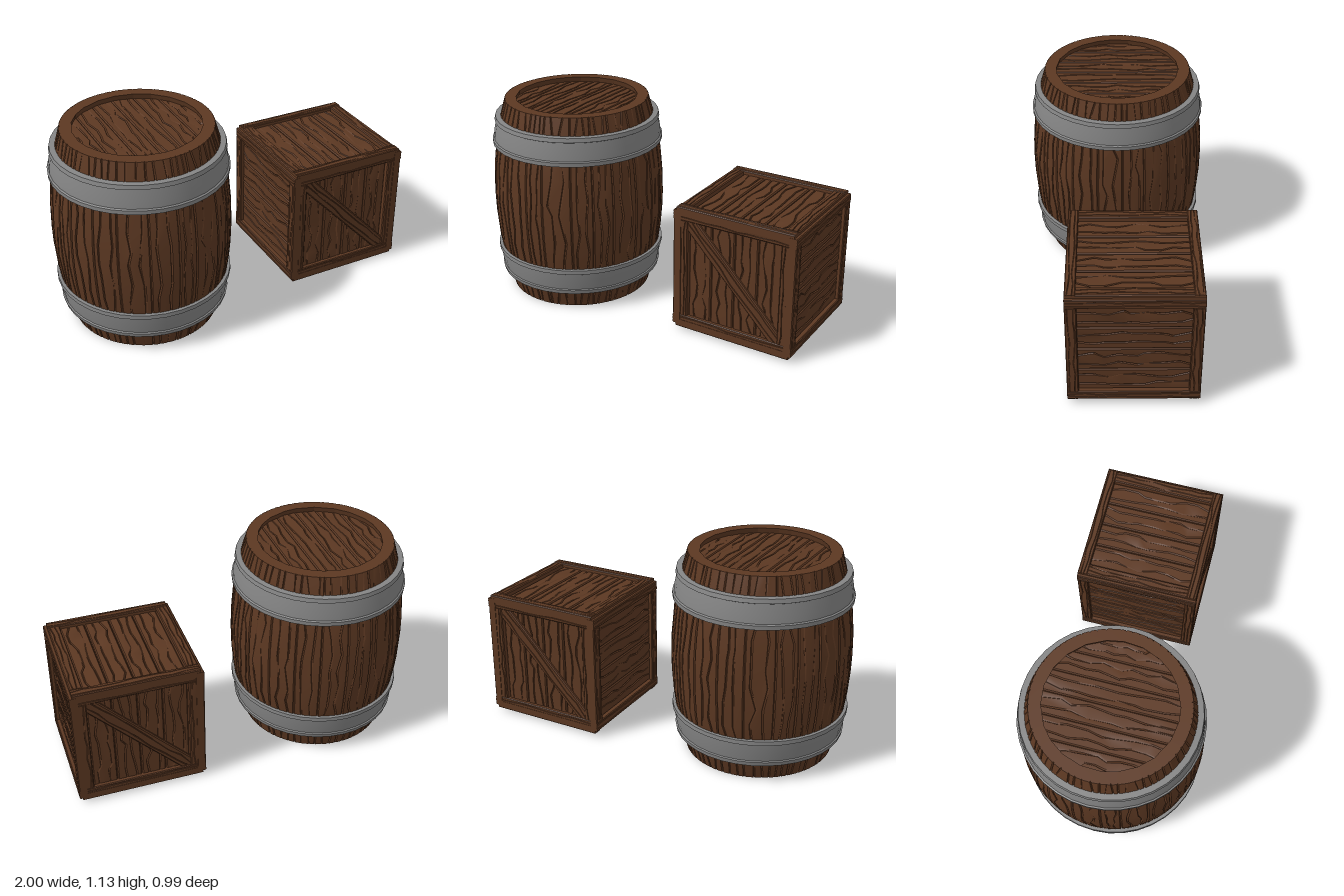
import * as THREE from 'three';
import { toCreasedNormals } from 'three/addons/utils/BufferGeometryUtils.js';

const wood = new THREE.MeshStandardMaterial({ color: 0x5c3822 });
wood.name = 'brown wood';
const iron = new THREE.MeshStandardMaterial({ color: 0x858585 });
iron.name = 'grey iron';

let seed = 7;
const rand = (a = 0, b = 1) => {
  seed = (seed * 16807) % 2147483647;
  return a + (b - a) * (seed / 2147483647);
};

// Board of width w (x), length l (y) and thickness t (z from 0), with bevelled
// edges and two wandering grain grooves in its outer face. warp bends each point.
function board(w, l, t, sections = 8, warp = (p) => p) {
  const pos = [], index = [];
  const bevel = Math.min(0.006, w * 0.08), groove = w * 0.05;
  let n = 0;
  for (let k = 0; k <= sections; k++) {
    const y = l * (k / sections - 0.5 + (k % sections ? rand(-0.3, 0.3) / sections : 0));
    const loop = [[-w / 2, 0], [-w / 2, t - bevel], [-w / 2 + bevel, t]];
    for (const side of [-1, 1]) {
      const c = w * (side * 0.2 + rand(-0.11, 0.11)), depth = rand(0.001, 0.009);
      loop.push([c - groove * 0.4, t], [c, t - depth], [c + groove, t]);
    }
    loop.push([w / 2 - bevel, t], [w / 2, t - bevel], [w / 2, 0]);
    n = loop.length;
    for (const [x, z] of loop) pos.push(...warp([x, y, z]));
  }
  for (let k = 0; k < sections; k++) {
    for (let i = 0; i < n; i++) {
      const j = (i + 1) % n, a = k * n, b = a + n;
      index.push(a + i, a + j, b + j, a + i, b + j, b + i);
    }
  }
  const end = sections * n;
  for (let i = 1; i < n - 1; i++) {
    index.push(0, i + 1, i, end, end + i, end + i + 1);
  }
  const geo = new THREE.BufferGeometry();
  geo.setAttribute('position', new THREE.Float32BufferAttribute(pos, 3));
  geo.setIndex(index);
  return toCreasedNormals(geo, 0.45);
}

function add(group, name, geo, material = wood) {
  const mesh = new THREE.Mesh(geo, material);
  mesh.name = name;
  group.add(mesh);
  return mesh;
}

function createBarrel() {
  const barrel = new THREE.Group();
  barrel.name = 'barrel';
  const H = 1.13, T = 0.065;
  const radius = (y) => 0.497 - 0.085 * Math.pow(Math.abs(y / (H / 2)), 2.1);

  // Bulging staves of uneven width
  const widths = Array.from({ length: 22 }, () => rand(0.75, 1.25));
  const total = widths.reduce((a, b) => a + b);
  let angle = 0;
  for (const share of widths) {
    const arc = (share / total) * Math.PI * 2, mid = angle + arc / 2;
    angle += arc;
    add(barrel, 'stave', board(arc * 0.5, H, T, 10, ([x, y, z]) => {
      const a = mid + x / 0.5, r = radius(y) - T + z;
      return [Math.sin(a) * r, y + H / 2, Math.cos(a) * r];
    }));
  }

  // Recessed round lids made of planks cut to a circle
  const R = 0.365, count = 6, w = (2 * R) / count;
  for (const top of [true, false]) {
    const lid = new THREE.Group();
    lid.name = top ? 'topLid' : 'bottomLid';
    for (let i = 0; i < count; i++) {
      const cx = -R + w * (i + 0.5);
      add(lid, 'lidPlank', board(w, 2, 0.03, 8, ([x, y, z]) =>
        [x + cx, y * Math.sqrt(Math.max(0, R * R - (x + cx) ** 2)), z]));
    }
    lid.rotation.x = top ? -Math.PI / 2 : Math.PI / 2;
    lid.position.y = top ? H - 0.06 : 0.06;
    barrel.add(lid);
  }

  // Iron hoops with a raised lip on each edge
  const profile = [[0.43, 0.878], [0.491, 0.88], [0.492, 0.903], [0.483, 0.908], [0.479, 0.95],
    [0.467, 1.008], [0.475, 1.012], [0.47, 1.035], [0.42, 1.037]];
  const hoop = (name, points) => add(barrel, name, toCreasedNormals(
    new THREE.LatheGeometry(points.map(([r, y]) => new THREE.Vector2(r, y)), 36), 0.4), iron);
  hoop('upperHoop', profile);
  hoop('lowerHoop', profile.map(([r, y]) => [r, 1.14 - y]).reverse());

  barrel.scale.x = 0.975;
  barrel.position.set(-0.515, 0, -0.004);
  return barrel;
}

// One crate side facing +z with its outer surface at z = 0
function crateFace(name, w, h, { rail = 0.055, post = 0.065, across = false, gap = 0.004, brace = false }) {
  const face = new THREE.Group();
  face.name = name;
  const frame = 0.045, iw = w - 2 * post, ih = h - 2 * rail;
  for (const s of [-1, 1]) {
    const r = add(face, 'rail', board(rail, w, frame));
    r.rotation.z = Math.PI / 2;
    r.position.set(0, s * (h - rail) / 2, -frame);
    add(face, 'post', board(post, ih, frame)).position.set(s * (w - post) / 2, 0, -frame);
  }
  const span = across ? ih : iw, length = across ? iw : ih, step = span / 4;
  for (let i = 0; i < 4; i++) {
    const offset = (i - 1.5) * step;
    const p = add(face, 'plank', board(step - gap, length, 0.024));
    if (across) p.rotation.z = Math.PI / 2;
    p.position.set(across ? 0 : offset, across ? offset : 0, -frame);
  }
  if (brace) {
    const b = add(face, 'brace', board(0.08, Math.hypot(iw, ih) + 0.01, 0.03));
    b.rotation.z = Math.atan2(iw, ih);
    b.position.z = -0.035;
  }
  return face;
}

function createCrate() {
  const crate = new THREE.Group();
  crate.name = 'crate';
  const W = 0.71, H = 0.715, D = 0.685, Q = Math.PI / 2;
  const place = (face, rx, ry, x, y, z) => {
    face.rotation.set(rx, ry, 0);
    face.position.set(x, y, z);
    crate.add(face);
  };
  const panel = { brace: true, gap: 0.003 };
  const side = { across: true, post: 0.06, gap: 0.001 };
  place(crateFace('frontFace', 0.67, 0.675, panel), 0, 0, 0, 0, D / 2 - 0.003);
  place(crateFace('backFace', 0.67, 0.675, panel), 0, Math.PI, 0, 0, -D / 2 + 0.003);
  place(crateFace('leftFace', D, 0.68, side), 0, Q, W / 2, 0, 0);
  place(crateFace('rightFace', D, 0.68, side), 0, -Q, -W / 2, 0, 0);
  place(crateFace('topFace', 0.675, D - 0.002, {}), -Q, 0, 0, H / 2, 0);
  place(crateFace('bottomFace', 0.675, D - 0.002, {}), Q, 0, 0, -H / 2, 0);
  crate.position.set(0.642, 0.374, -0.082);
  return crate;
}

export function createModel() {
  const model = new THREE.Group();
  model.name = 'barrelAndCrate';
  model.add(createBarrel(), createCrate());
  return model;
}
